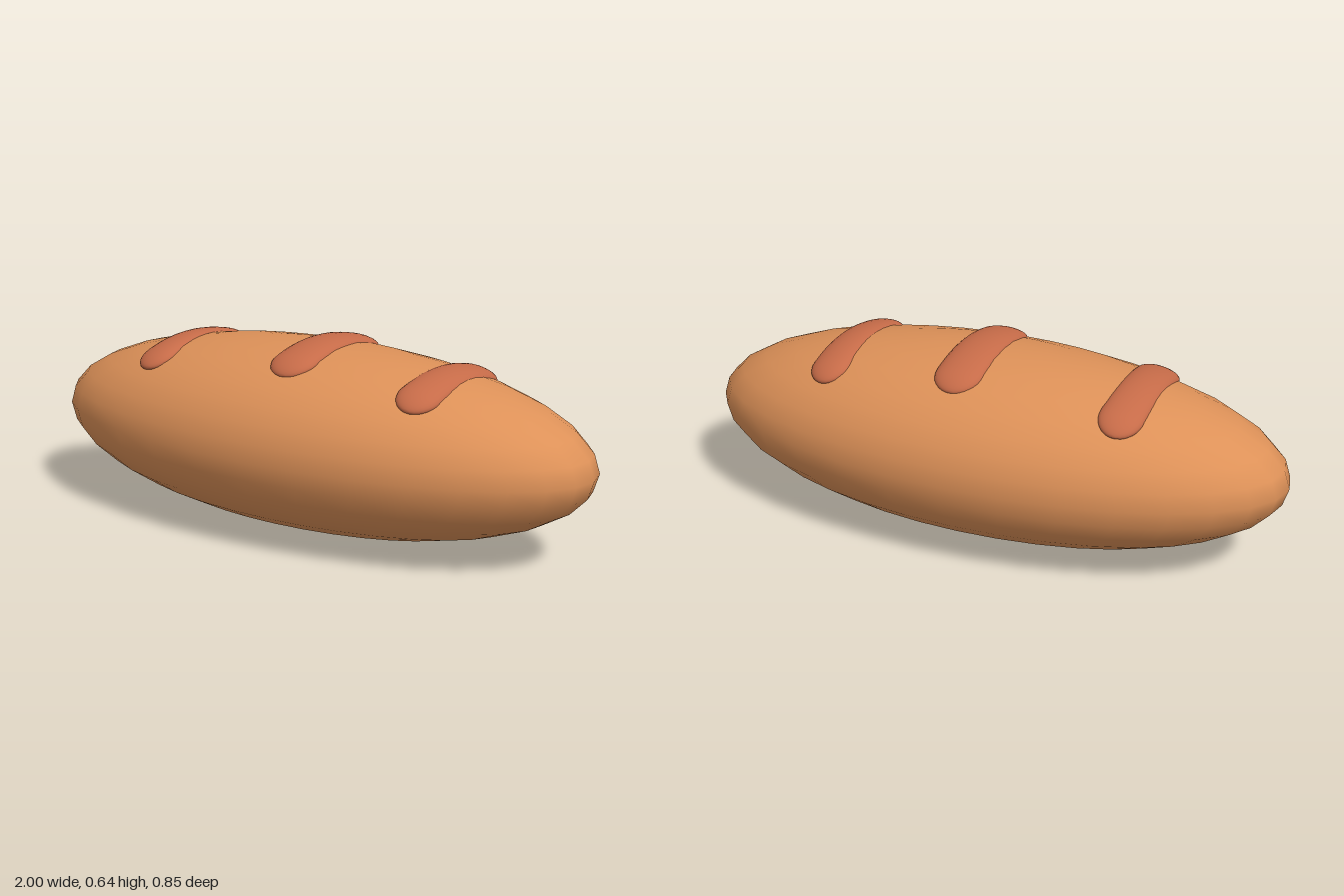
import * as THREE from 'three';
import { mergeVertices } from 'three/addons/utils/BufferGeometryUtils.js';

const crust = new THREE.MeshStandardMaterial({ color: 0xdd9158 });
crust.name = 'golden crust';
const ridge = new THREE.MeshStandardMaterial({ color: 0xc66b48 });
ridge.name = 'reddish ridge';

// Flattened capsule lying along z, drooping towards both ends
function ridgeGeometry(halfWidth) {
  const r = 0.08;
  let g = new THREE.CapsuleGeometry(r, 0.512 - 2 * r, 8, 24, 12);
  g.rotateX(Math.PI / 2);
  g.scale(halfWidth / r, 0.03 / r, 1);
  const p = g.attributes.position;
  for (let i = 0; i < p.count; i++) {
    const z = p.getZ(i);
    p.setY(i, p.getY(i) - 0.75 * z * z);
  }
  g.deleteAttribute('uv');
  g.deleteAttribute('normal');
  g = mergeVertices(g, 1e-5);
  g.computeVertexNormals();
  return g;
}

export function createModel() {
  const model = new THREE.Group();
  model.name = 'breadLoaf';

  // Loaf body: a stretched sphere
  const body = new THREE.SphereGeometry(1, 32, 16);
  body.scale(1, 0.308, 0.425);
  const loaf = new THREE.Mesh(body, crust);
  loaf.name = 'loaf';
  loaf.position.y = 0.312;
  model.add(loaf);

  // Three ridges across the top, the outer ones tilted with the slope
  const ridges = [
    ['rightRidge', -0.507, 0.562, 0.071, 0.16],
    ['middleRidge', 0.04, 0.61, 0.08, 0],
    ['leftRidge', 0.5, 0.562, 0.071, -0.16],
  ];
  for (const [name, x, y, halfWidth, tilt] of ridges) {
    const mesh = new THREE.Mesh(ridgeGeometry(halfWidth), ridge);
    mesh.name = name;
    mesh.position.set(x, y, 0);
    mesh.rotation.z = tilt;
    model.add(mesh);
  }
  return model;
}
